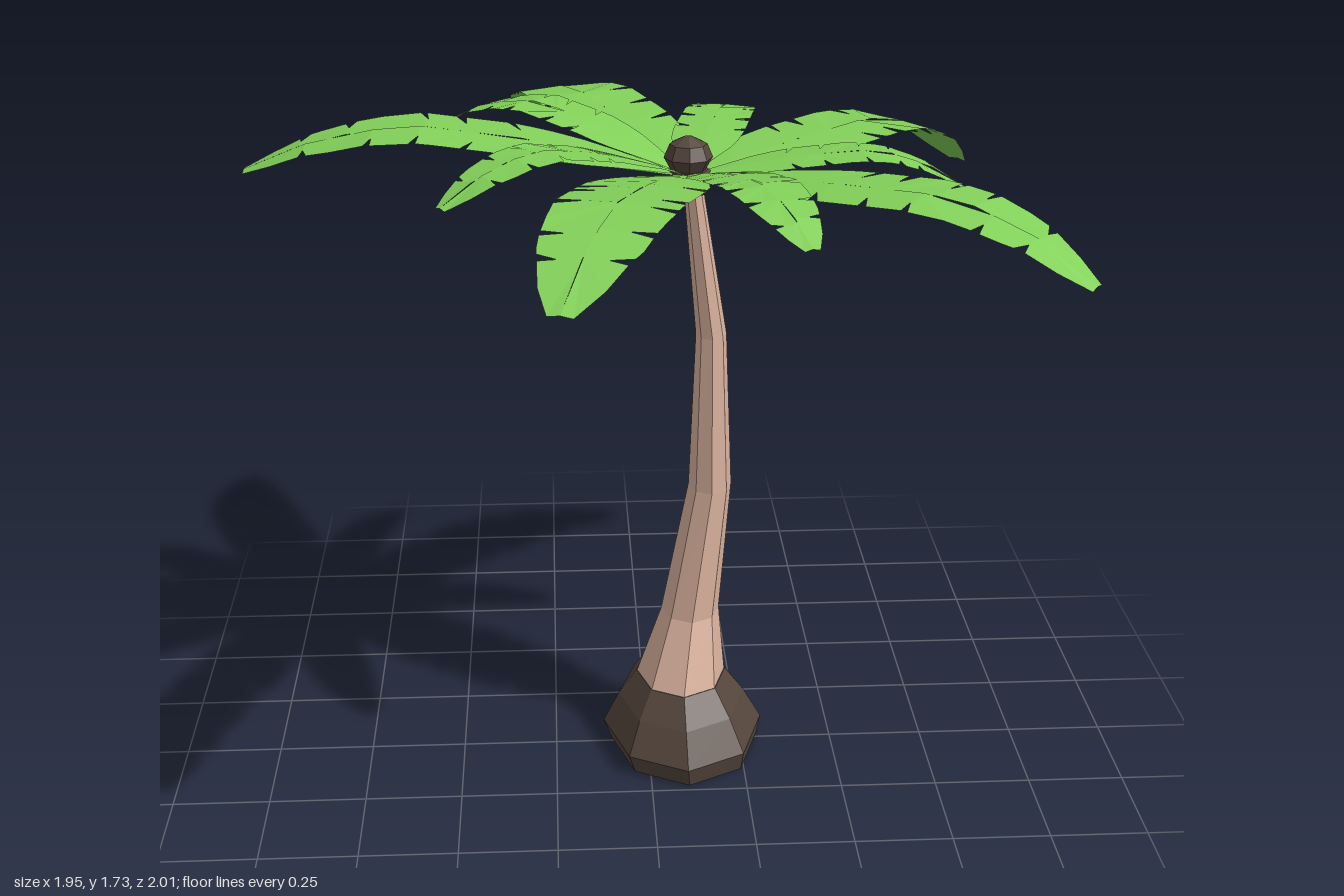
import * as THREE from 'three';

const material = (color, side = THREE.FrontSide) =>
  new THREE.MeshStandardMaterial({ color, side, flatShading: true, roughness: 1 });

// Closed eight-sided loft through rings of [x, y, z, radiusX, radiusZ]
function loft(name, rings, mat, sides = 8) {
  const pos = [], index = [];
  for (const [x, y, z, rx, rz] of rings)
    for (let i = 0; i < sides; i++) {
      const a = (i / sides) * Math.PI * 2;
      pos.push(x + Math.cos(a) * rx, y, z + Math.sin(a) * rz);
    }
  const last = (rings.length - 1) * sides;
  for (let i = 0; i < sides; i++) {
    const j = (i + 1) % sides;
    for (let r = 0; r < last; r += sides)
      index.push(r + i, r + sides + i, r + j, r + j, r + sides + i, r + sides + j);
    if (i > 0 && i < sides - 1) {
      index.push(0, i, i + 1);
      index.push(last, last + i + 1, last + i);
    }
  }
  const geo = new THREE.BufferGeometry();
  geo.setAttribute('position', new THREE.Float32BufferAttribute(pos, 3));
  geo.setIndex(index);
  const flat = geo.toNonIndexed();
  flat.computeVertexNormals();
  const mesh = new THREE.Mesh(flat, mat);
  mesh.name = name;
  return mesh;
}

// Straight-line lookup in a list of [position, value] pairs
function lookup(table, t) {
  let i = 1;
  while (i < table.length - 1 && t > table[i][0]) i++;
  const [a, va] = table[i - 1], [b, vb] = table[i];
  return va + (vb - va) * ((t - a) / (b - a));
}

// Half width of a frond along its length, as a fraction of its widest point
const OUTLINE = [[0, 0.04], [0.27, 0.9], [0.4, 1], [0.62, 0.98], [0.8, 0.82], [0.93, 0.5], [1, 0.2]];

// Frond that climbs evenly from the collar, then bends down towards its tip;
// a few deep notches split its edges
function frond(name, base, [tipX, tipZ, highY, tipY, halfWidth], seed, mat) {
  let state = seed * 7919 + 13;
  const rand = () => (state = (state * 16807) % 2147483647) / 2147483647;
  rand();
  const dx = tipX - base.x, dz = tipZ - base.z, len = Math.hypot(dx, dz);
  const rise = highY - base.y, fall = highY - tipY;
  const heights = [
    [0, base.y], [0.18, base.y + 0.4 * rise], [0.38, base.y + 0.75 * rise], [0.6, highY],
    [0.72, highY - 0.08 * fall], [0.86, highY - 0.4 * fall], [1, tipY],
  ];
  const point = (t, s) => {
    const w = lookup(OUTLINE, t) * halfWidth * s;
    return [base.x + dx * t - (dz / len) * w, lookup(heights, t) - 0.004 * Math.abs(s),
      base.z + dz * t + (dx / len) * w];
  };
  const pos = [];
  const lobes = 6;
  for (const side of [1, -1]) {
    const cuts = [0, 0.14, 0.27];
    for (let i = 1; i < lobes; i++)
      cuts.push(0.27 + 0.7 * (i + (rand() - 0.5) * 0.6) / lobes);
    cuts.push(1);
    for (let i = 0; i < cuts.length - 1; i++) {
      const t0 = cuts[i], t1 = cuts[i + 1];
      const sweep = t => t + 0.05 * (1 - t) * Math.min(1, t * 4);
      const gap = i < 2 || i === cuts.length - 2 ? 0 : 0.012 + 0.014 * rand();
      const shape = [
        point(t0, 0), point(t0, 0.55 * side), point(sweep(t0), side),
        point(sweep((t0 + t1) / 2), side), point(sweep(t1) - gap, side),
        point(t1, 0.55 * side), point(t1, 0),
      ];
      for (let k = 1; k < shape.length - 1; k++) {
        const pair = side > 0 ? [shape[k], shape[k + 1]] : [shape[k + 1], shape[k]];
        pos.push(...shape[0], ...pair[0], ...pair[1]);
      }
    }
  }
  const geo = new THREE.BufferGeometry();
  geo.setAttribute('position', new THREE.Float32BufferAttribute(pos, 3));
  geo.computeVertexNormals();
  const mesh = new THREE.Mesh(geo, mat);
  mesh.name = name;
  return mesh;
}

export function createModel() {
  const model = new THREE.Group();
  model.name = 'palmTree';
  const bark = material(0xdab29e);
  const dark = material(0x54453c);
  const green = material(0x82d059, THREE.DoubleSide);

  // Root flare
  model.add(loft('rootBase', [
    [0.1, 0, -0.02, 0.2, 0.25],
    [0.095, 0.055, -0.02, 0.215, 0.267],
    [0.092, 0.14, -0.02, 0.17, 0.212],
    [0.09, 0.21, -0.02, 0.12, 0.152],
  ], dark));

  // Bent, tapering trunk
  model.add(loft('trunk', [
    [0.09, 0.21, -0.02, 0.118, 0.15],
    [0.115, 0.39, -0.04, 0.077, 0.092],
    [0.165, 0.75, -0.055, 0.056, 0.075],
    [0.163, 1.17, -0.05, 0.039, 0.05],
    [0.113, 1.56, -0.03, 0.024, 0.03],
  ], bark));

  // Crown: flared collar under the fronds and a rounded bud on top
  model.add(loft('crownCollar', [
    [0.113, 1.545, -0.03, 0.032, 0.032],
    [0.108, 1.59, -0.03, 0.055, 0.055],
    [0.1, 1.605, -0.03, 0.05, 0.05],
  ], dark));
  model.add(loft('crownBud', [
    [0.1, 1.59, -0.03, 0.035, 0.035],
    [0.1, 1.635, -0.03, 0.06, 0.06],
    [0.1, 1.668, -0.03, 0.046, 0.046],
    [0.1, 1.685, -0.03, 0.012, 0.012],
  ], dark));

  // Fronds: tip x, tip z, highest point, tip height, half width
  const base = new THREE.Vector3(0.1, 1.59, -0.03);
  const large = [
    [-0.97, -0.03, 1.72, 1.62, 0.145],
    [-0.31, -1.0, 1.655, 1.51, 0.145],
    [0.9, -0.7, 1.615, 1.43, 0.145],
    [0.96, 0.57, 1.645, 1.5, 0.14],
    [-0.22, 0.99, 1.713, 1.61, 0.14],
  ];
  const small = [
    [-0.5, -0.4, 1.72, 1.635, 0.092],
    [0.28, -0.7, 1.65, 1.55, 0.092],
    [0.78, -0.04, 1.645, 1.55, 0.09],
    [0.32, 0.64, 1.69, 1.62, 0.092],
    [-0.48, 0.39, 1.728, 1.645, 0.092],
  ];
  const fronds = new THREE.Group();
  fronds.name = 'fronds';
  large.forEach((f, i) => fronds.add(frond('largeFrond', base, f, i + 1, green)));
  small.forEach((f, i) => fronds.add(frond('smallFrond', base, f, i + 11, green)));
  model.add(fronds);
  return model;
}
